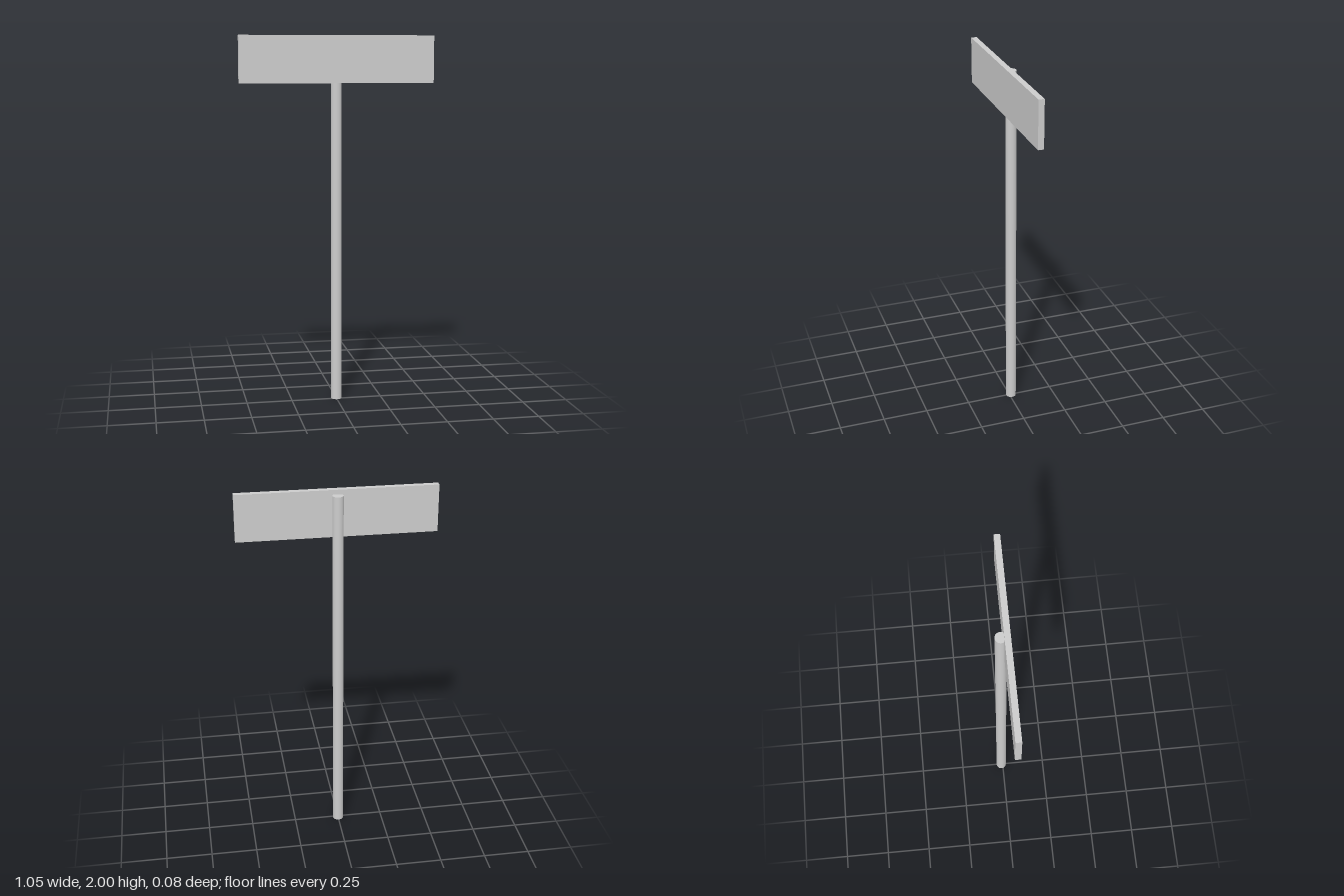
import * as THREE from 'three';

export function createModel() {
  const model = new THREE.Group();
  const material = new THREE.MeshStandardMaterial({ color: 0xcccccc });

  // Round upright, partly sunk into the back of the board
  const poleHeight = 1.975;
  const pole = new THREE.Mesh(new THREE.CylinderGeometry(0.029, 0.029, poleHeight, 32), material);
  pole.name = 'pole';
  pole.position.set(0, poleHeight / 2, -0.009);
  model.add(pole);

  // Flat sign board on the front of the pole
  const boardHeight = 0.253;
  const board = new THREE.Mesh(new THREE.BoxGeometry(1.053, boardHeight, 0.031), material);
  board.name = 'signBoard';
  board.position.set(0, 2 - boardHeight / 2, 0.0225);
  model.add(board);

  return model;
}
